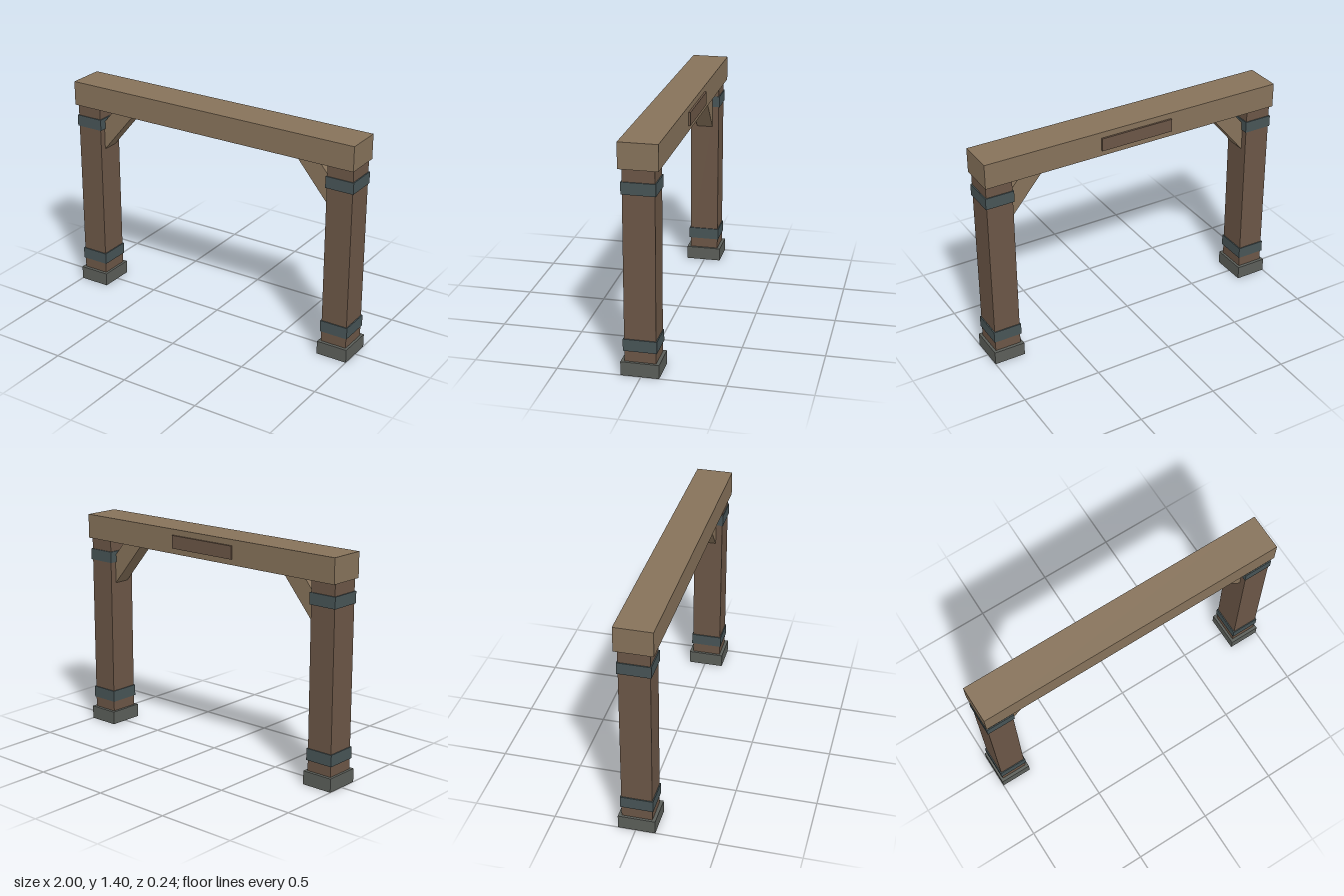
import * as THREE from 'three';

const material = (color) => new THREE.MeshStandardMaterial({ color });
const beamWood = material(0x86725a);
const postWood = material(0x6b5646);
const iron = material(0x475456);
const stone = material(0x5b5e59);
const Z = 0.006; // centre line of the frame

// Box given by its x centre, bottom, top, width and depth
function box(name, mat, x, y0, y1, width, depth, z = Z) {
  const mesh = new THREE.Mesh(new THREE.BoxGeometry(width, y1 - y0, depth), mat);
  mesh.name = name;
  mesh.position.set(x, (y0 + y1) / 2, z);
  return mesh;
}

// Diagonal brace, cut flush against the post and the beam
function brace(side) {
  const points = [[0.817, 0.958], [0.817, 1.14], [0.729, 1.245], [0.575, 1.245]];
  const shape = new THREE.Shape(points.map(([x, y]) => new THREE.Vector2(side * x, y)));
  const geometry = new THREE.ExtrudeGeometry(shape, { depth: 0.105, bevelEnabled: false });
  const mesh = new THREE.Mesh(geometry, beamWood);
  mesh.name = 'brace';
  mesh.position.z = Z - 0.0525;
  return mesh;
}

export function createModel() {
  const model = new THREE.Group();
  model.name = 'timberGateway';

  // Post assemblies on both sides
  for (const side of [1, -1]) {
    const post = new THREE.Group();
    post.name = side > 0 ? 'leftPost' : 'rightPost';
    const x = side * 0.9;
    post.add(
      box('footing', stone, x, 0, 0.085, 0.2, 0.228),
      box('post', postWood, x, 0.085, 1.245, 0.168, 0.187),
      box('lowerBand', iron, x, 0.152, 0.225, 0.182, 0.2),
      box('upperBand', iron, x, 1.099, 1.171, 0.182, 0.2),
      brace(side)
    );
    model.add(post);
  }

  // Lintel with a plain board on its back
  model.add(
    box('beam', beamWood, 0, 1.245, 1.4, 1.986, 0.232),
    box('backBoard', postWood, 0, 1.281, 1.363, 0.48, 0.022, -0.111)
  );
  return model;
}
